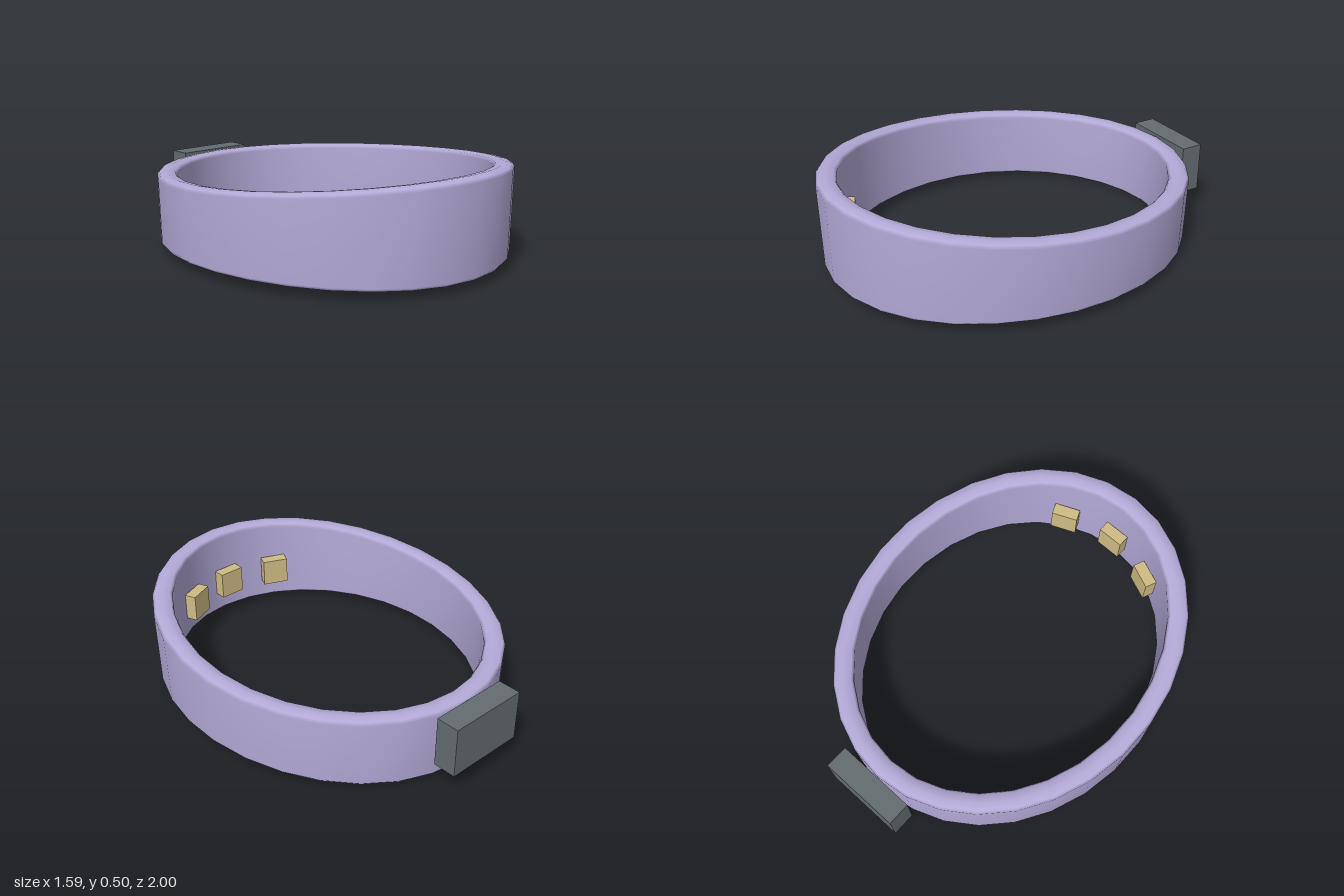
import * as THREE from 'three';

const mat = (name, color) => {
  const m = new THREE.MeshStandardMaterial({ color });
  m.name = name;
  return m;
};

// Oval band: a rounded wall section swept round an ellipse, edges rising to the front
function bandGeometry() {
  const segments = 30;
  // [inset from the outer ellipse, 0 = bottom rim / 1 = top rim, height offset]
  const section = [
    [0.05, 0, 0], [0.02, 0, 0.005], [0.008, 0, 0.02],
    [0, 1, -0.022], [0.012, 1, -0.007], [0.05, 1, 0], [0.088, 1, -0.007], [0.1, 1, -0.022],
    [0.1, 0, 0.02], [0.088, 0, 0.005],
  ];
  const n = section.length;
  const positions = [];
  const indices = [];
  for (let i = 0; i < segments; i++) {
    const a = (i / segments) * Math.PI * 2;
    const s = Math.sin(a), c = Math.cos(a);
    const top = 0.415 + 0.065 * c + 0.021 * c * c;
    const bottom = 0.042 + 0.018 * c - 0.024 * c * c;
    section.forEach(([inset, rim, dy], j) => {
      positions.push((0.8 - inset) * s, (rim ? top : bottom) + dy, 0.06 + (0.94 - inset) * c);
      const j2 = (j + 1) % n;
      const p = i * n, q = ((i + 1) % segments) * n;
      indices.push(p + j, q + j, q + j2, p + j, q + j2, p + j2);
    });
  }
  const g = new THREE.BufferGeometry();
  g.setAttribute('position', new THREE.Float32BufferAttribute(positions, 3));
  g.setIndex(indices);
  g.computeVertexNormals();
  return g;
}

export function createModel() {
  const model = new THREE.Group();
  model.name = 'headband';
  const lavender = mat('lavender', 0xb4aad8);
  const grey = mat('slate grey', 0x646c70);
  const gold = mat('pale gold', 0xd0bc84);

  const add = (name, geometry, material, x, y, z, turn = 0) => {
    const mesh = new THREE.Mesh(geometry, material);
    mesh.name = name;
    mesh.position.set(x, y, z);
    mesh.rotation.y = turn;
    model.add(mesh);
  };

  add('band', bandGeometry(), lavender, 0, 0, 0);

  // Module at the back
  add('rearModule', new THREE.BoxGeometry(0.408, 0.254, 0.116), grey, 0, 0.242, -0.942);

  // Three contact pads inside the front
  const pad = new THREE.BoxGeometry(0.134, 0.14, 0.06);
  add('centrePad', pad, gold, 0, 0.225, 0.86);
  for (const side of [-1, 1]) {
    add(side > 0 ? 'leftPad' : 'rightPad', pad, gold, side * 0.265, 0.225, 0.79, side * 0.4);
  }
  return model;
}
